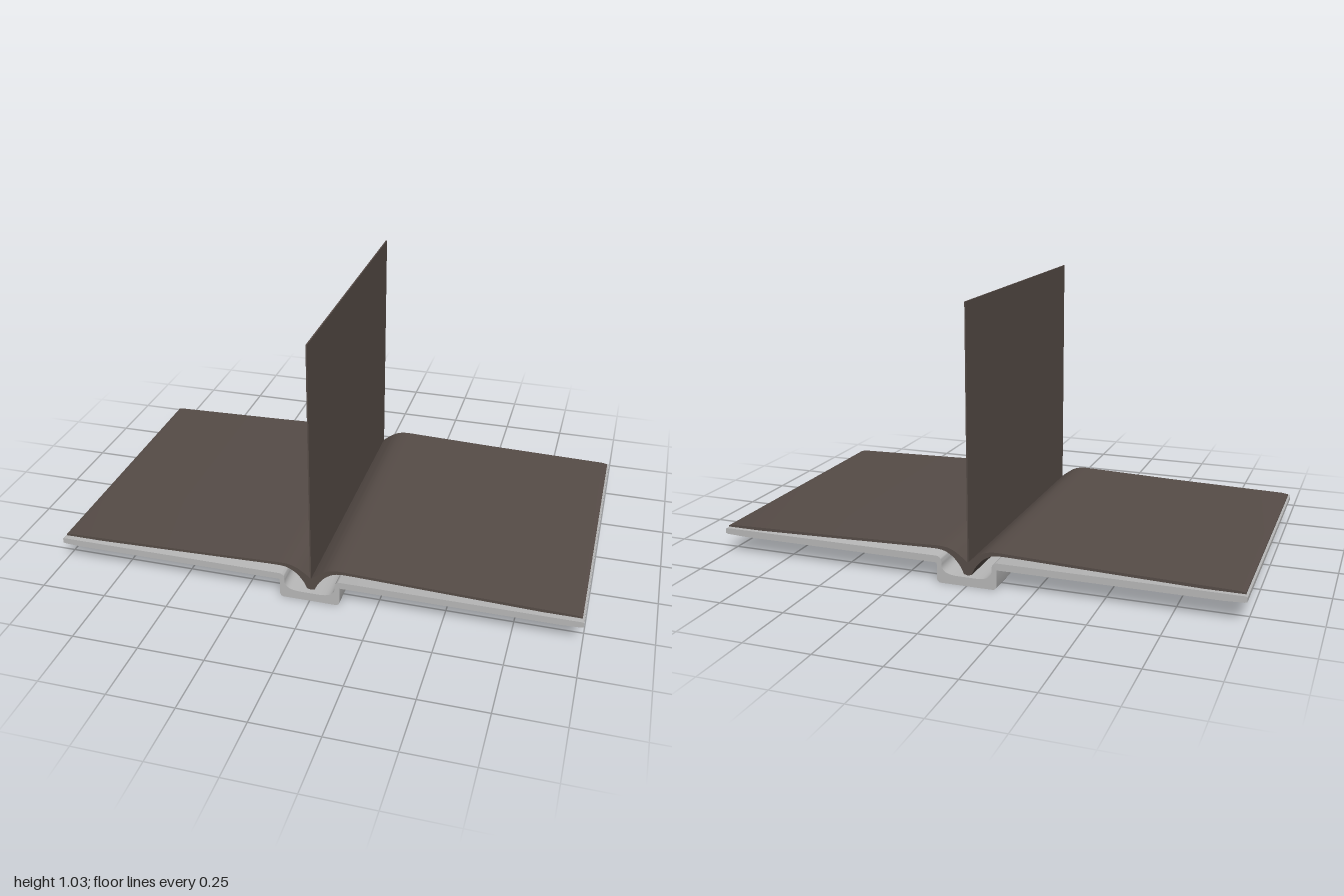
import * as THREE from 'three';
import { toCreasedNormals } from 'three/addons/utils/BufferGeometryUtils.js';

const coverMat = new THREE.MeshStandardMaterial({ name: 'coverGrey', color: 0xb8b8b8 });
const pageMat = new THREE.MeshStandardMaterial({ name: 'pageBrown', color: 0x564c47 });

const v = (x, y) => new THREE.Vector2(x, y);

// Extrude an x/y outline along z, centred, with smooth curves and sharp edges
function slab(name, shape, depth, mat, zOff = 0) {
  const g = new THREE.ExtrudeGeometry(shape, { depth, bevelEnabled: false, curveSegments: 6 });
  g.translate(0, 0, zOff - depth / 2);
  const mesh = new THREE.Mesh(toCreasedNormals(g, 0.6), mat);
  mesh.name = name;
  return mesh;
}

// Add the mirrored half of an open outline that runs at x >= 0
const mirrored = (pts) => [...pts, ...pts.slice().reverse().map((p) => v(-p.x, p.y))];

export function createModel() {
  const book = new THREE.Group();
  book.name = 'openBook';

  // Hard cover: two flat boards joined by a U-shaped spine channel
  const arc = (cx, cy, r, a0, a1) => Array.from({ length: 6 }, (_, i) => {
    const a = a0 + (a1 - a0) * i / 5;
    return v(cx + r * Math.cos(a), cy + r * Math.sin(a));
  });
  const half = [
    v(0.04, 0.034),
    ...new THREE.QuadraticBezierCurve(v(0.06, 0.036), v(0.095, 0.042), v(0.097, 0.07)).getPoints(6),
    ...arc(0.117, 0.082, 0.02, Math.PI, Math.PI / 2),
    v(0.995, 0.102), v(1, 0.098), v(1, 0.082), v(0.99, 0.079), v(0.92, 0.076),
    v(0.115, 0.076),
    ...arc(0.1, 0.015, 0.015, 0, -Math.PI / 2),
  ];
  book.add(slab('cover', new THREE.Shape(mirrored(half)), 1.15, coverMat));

  // Page blocks: curl up out of the gutter, then slope down to the board edge
  const zOff = -0.003, pageDepth = 1.117;
  const top = [
    ...new THREE.SplineCurve([v(0, 0.085), v(0.025, 0.105), v(0.06, 0.127), v(0.1, 0.136), v(0.16, 0.135)]).getPoints(20),
    v(0.5, 0.124), v(0.97, 0.113), v(0.993, 0.109)];
  const under = [
    v(0.993, 0.104), v(0.85, 0.104), v(0.5, 0.114),
    ...new THREE.SplineCurve([v(0.16, 0.124), v(0.1, 0.122), v(0.06, 0.103), v(0.03, 0.07), v(0.015, 0.04)]).getPoints(20),
    v(0, 0.036)];
  for (const [name, s] of [['leftPages', 1], ['rightPages', -1]]) {
    const pts = [...top, ...under].map((p) => v(p.x * s, p.y));
    book.add(slab(name, new THREE.Shape(pts), pageDepth, pageMat, zOff));
  }

  // Single leaf standing upright in the gutter
  const leaf = new THREE.Mesh(new THREE.BoxGeometry(0.005, 0.978, pageDepth), pageMat);
  leaf.name = 'standingPage';
  leaf.position.set(-0.001, 0.539, zOff);
  book.add(leaf);

  return book;
}
